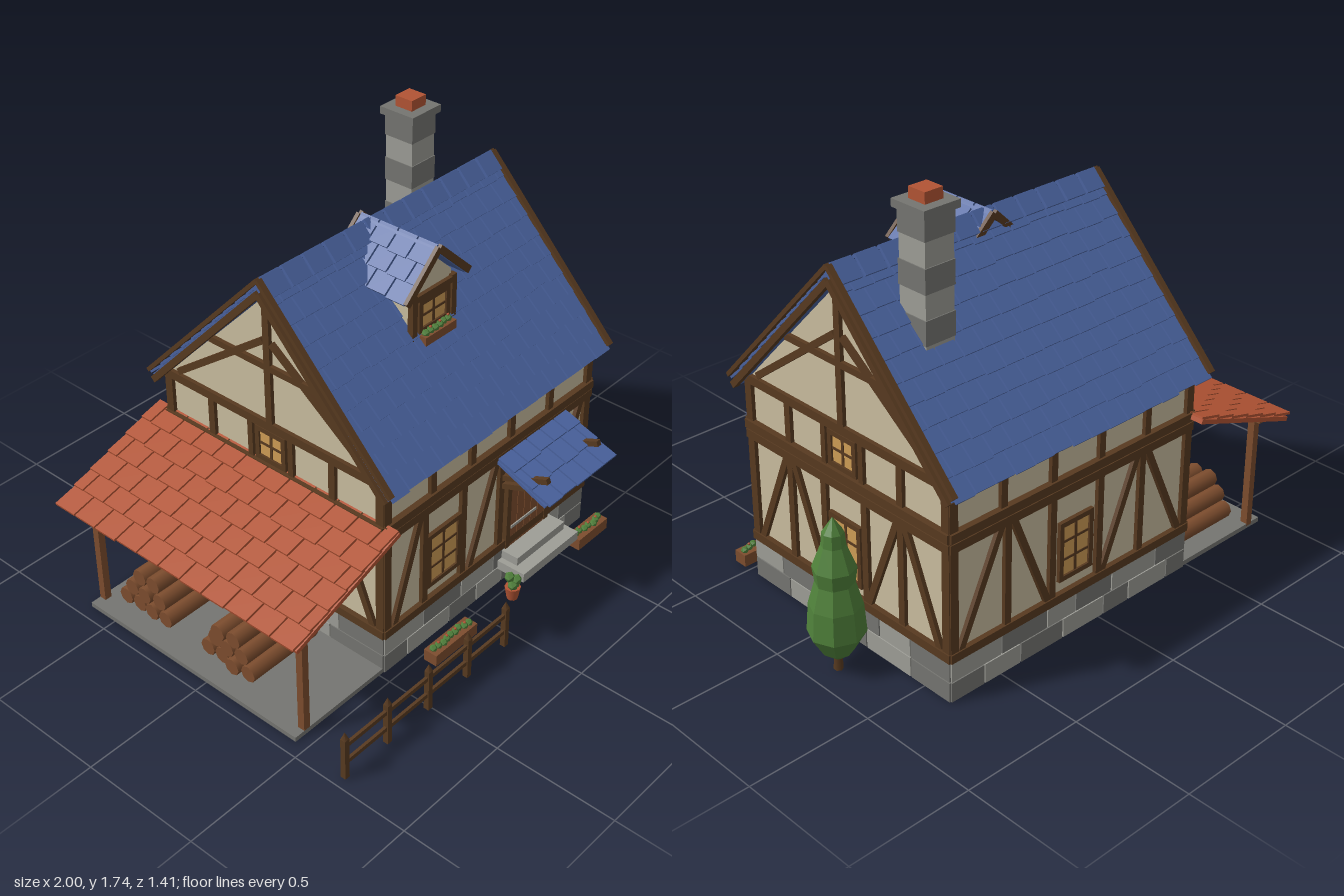
import * as THREE from 'three';
import { mergeGeometries } from 'three/addons/utils/BufferGeometryUtils.js';

const mat = (name, hex) => {
  const m = new THREE.MeshStandardMaterial({ color: hex });
  m.name = name;
  return m;
};
const flat = m => { m.flatShading = true; return m; };

export function createModel() {
  const blue = mat('blue tile', 0x4a639f), red = mat('terracotta', 0xb25434);
  const dark = mat('dark timber', 0x583a20), wood = mat('light timber', 0x7d4d2e);
  const cream = mat('plaster', 0xcabd9f), glass = mat('lit glass', 0xcf9d55);
  const light = mat('light stone', 0x9d9d96), grey = mat('dark stone', 0x757571);
  const green = flat(mat('leaf green', 0x4f803a));
  const house = new THREE.Group();
  house.name = 'cottage';

  let seed = 7;
  const rnd = () => (seed = (seed * 16807) % 2147483647) / 2147483647;
  const V = (x, y, z) => new THREE.Vector3(x, y, z);
  const add = (parent, name, geo, m, x = 0, y = 0, z = 0) => {
    const mesh = new THREE.Mesh(geo, m);
    mesh.name = name;
    mesh.position.set(x, y, z);
    parent.add(mesh);
    return mesh;
  };
  const box = (p, name, m, w, h, d, x, y, z) => add(p, name, new THREE.BoxGeometry(w, h, d), m, x, y, z);
  const group = (parent, name, x = 0, y = 0, z = 0, ry = 0) => {
    const g = new THREE.Group();
    g.name = name;
    g.position.set(x, y, z);
    g.rotation.y = ry;
    parent.add(g);
    return g;
  };
  // straight timber between two points of a wall plane
  const timber = (g, u1, y1, u2, y2, w = 0.03, d = 0.024, z = 0.004, m = dark, name = 'timber') => {
    const b = box(g, name, m, Math.hypot(u2 - u1, y2 - y1), w, d, (u1 + u2) / 2, (y1 + y2) / 2, z);
    b.rotation.z = Math.atan2(y2 - y1, u2 - u1);
    return b;
  };
  const mirrored = (g, u1, y1, u2, y2, w) => [1, -1].forEach(s => timber(g, s * u1, y1, s * u2, y2, w));
  const windowAt = (p, u, y0, y1, w, bars = 1) => {
    const g = group(p, 'window', u, 0, 0), h = w / 2;
    box(g, 'pane', glass, w, y1 - y0, 0.008, 0, (y0 + y1) / 2, 0.004);
    for (const s of [-h, h]) timber(g, s, y0 - 0.01, s, y1 + 0.01, 0.02);
    for (const y of [y0, y1]) timber(g, -h, y, h, y, 0.02);
    timber(g, 0, y0, 0, y1, 0.012, 0.014);
    for (let i = 1; i <= bars; i++) {
      const y = y0 + (y1 - y0) * i / (bars + 1);
      timber(g, -h, y, h, y, 0.01, 0.014);
    }
  };
  // tiled roof plane, from the middle of the eave to the middle of the ridge
  const roofSlope = (parent, name, eave, ridge, width, rows, cols, m, thick = 0.03) => {
    const Y = ridge.clone().sub(eave), len = Y.length();
    Y.normalize();
    const X = Y.clone().cross(V(0, 1, 0)).normalize(), Z = X.clone().cross(Y);
    const g = group(parent, name);
    g.quaternion.setFromRotationMatrix(new THREE.Matrix4().makeBasis(X, Y, Z));
    g.position.copy(eave);
    box(g, 'roof board', m, width, len, thick - 0.012, 0, len / 2, -0.012 - (thick - 0.012) / 2);
    const tiles = [], step = len / rows, tw = width / cols;
    for (let r = 0; r < rows; r++) {
      for (let c = 0; c <= cols; c++) {
        const shift = r % 2 ? 0.5 : 0;
        const a = Math.max(0, (c - shift) * tw), b = Math.min(width, (c + 1 - shift) * tw);
        if (b - a < 0.01) continue;
        const h = step * 1.08 + rnd() * 0.008;
        const t = new THREE.BoxGeometry(b - a - 0.007, h, 0.01);
        t.rotateX(-0.09);
        t.translate((a + b) / 2 - width / 2, (r + 1) * step - h / 2, -0.004);
        tiles.push(t);
      }
    }
    add(g, 'tiles', mergeGeometries(tiles), m);
    return g;
  };
  const extrude = (pts, depth) => new THREE.ExtrudeGeometry(
    new THREE.Shape(pts.map(p => new THREE.Vector2(...p))), { depth, bevelEnabled: false });

  // walls: one five-sided profile pushed along x
  const CX = 0.13, CZ = -0.09, HX = 0.597, HZ = 0.532;
  const body = add(house, 'walls', extrude([[-HZ, 0], [HZ, 0], [HZ, 0.855], [0, 1.405], [-HZ, 0.855]], HX * 2), cream, CX - HX, 0, CZ);
  body.rotation.y = Math.PI / 2;
  box(house, 'stone base', grey, 1.2, 0.165, 1.07, CX, 0.0855, CZ);

  const sides = {
    front: [group(house, 'front wall', CX, 0, CZ + HZ), HX],
    back: [group(house, 'back wall', CX, 0, CZ - HZ, Math.PI), HX],
    right: [group(house, 'left gable', CX + HX, 0, CZ, Math.PI / 2), HZ],
    left: [group(house, 'right gable', CX - HX, 0, CZ, -Math.PI / 2), HZ],
  };
  for (const [g, h] of Object.values(sides)) {
    // base stones in two courses
    for (let r = 0; r < 2; r++) {
      let u = -h - 0.012, k = r;
      while (u < h) {
        let w = 0.13 + rnd() * 0.12;
        if (h + 0.012 - u - w < 0.08) w = h + 0.012 - u;
        box(g, 'base stone', k++ % 2 ? light : grey, w - 0.006, 0.079, 0.03, u + w / 2, 0.042 + r * 0.084, 0);
        u += w;
      }
    }
    // frame shared by all sides
    const e = h + 0.014;
    timber(g, -e, 0.185, e, 0.185, 0.035, 0.034);
    timber(g, -e, 0.626, e, 0.626, 0.035, 0.034);
    timber(g, -e, 0.668, e, 0.668, 0.035, 0.042);
    timber(g, -e, 0.855, e, 0.855, 0.035);
    mirrored(g, h - 0.006, 0.17, h - 0.006, 0.87, 0.036);
  }

  // front frame, window and door
  const F = sides.front[0], fx = x => x - CX;
  for (const x of [-0.255, -0.035, 0.19, 0.505]) timber(F, fx(x), 0.2, fx(x), 0.61);
  for (const x of [-0.215, 0.01, 0.24, 0.475]) timber(F, fx(x), 0.68, fx(x), 0.84);
  for (const [a, b] of [[-0.42, -0.28], [0.01, 0.16], [0.535, 0.68]]) timber(F, fx(a), 0.2, fx(b), 0.61, 0.028);
  windowAt(F, fx(-0.145), 0.26, 0.485, 0.17, 2);
  const door = group(F, 'door', fx(0.355), 0, 0);
  box(door, 'door panel', dark, 0.25, 0.38, 0.016, 0, 0.345, 0.004);
  for (let i = 0; i < 5; i++) box(door, 'door plank', wood, 0.041, 0.36, 0.016, (i - 2) * 0.044, 0.335, 0.012);
  for (const y of [0.25, 0.44]) box(door, 'hinge strap', light, 0.16, 0.012, 0.006, -0.025, y, 0.022);
  box(door, 'handle', grey, 0.014, 0.03, 0.014, 0.07, 0.335, 0.025);
  for (const s of [-1, 1]) timber(door, s * 0.122, 0.16, s * 0.122, 0.53, 0.024, 0.04);
  timber(door, -0.135, 0.53, 0.135, 0.53, 0.026, 0.04);
  box(house, 'upper step', light, 0.3, 0.036, 0.09, 0.36, 0.138, 0.488);
  box(house, 'lower step', light, 0.35, 0.04, 0.14, 0.36, 0.1, 0.515);

  // back frame
  const B = sides.back[0];
  mirrored(B, 0.12, 0.2, 0.12, 0.61);
  mirrored(B, 0.34, 0.2, 0.34, 0.61);
  mirrored(B, 0.56, 0.2, 0.37, 0.61, 0.028);
  mirrored(B, 0.14, 0.2, 0.31, 0.61, 0.028);
  mirrored(B, 0.12, 0.68, 0.12, 0.84);
  mirrored(B, 0.36, 0.68, 0.36, 0.84);
  windowAt(B, 0, 0.26, 0.485, 0.15, 2);

  // gable frames
  for (const g of [sides.right[0], sides.left[0]]) {
    mirrored(g, 0.3, 0.2, 0.3, 0.61);
    mirrored(g, 0.11, 0.2, 0.11, 0.61);
    mirrored(g, 0.49, 0.2, 0.32, 0.61, 0.028);
    mirrored(g, 0.12, 0.2, 0.28, 0.61, 0.028);
    mirrored(g, 0.3, 0.68, 0.3, 0.84);
    mirrored(g, 0.1, 0.68, 0.1, 0.84, 0.024);
    windowAt(g, 0, 0.25, 0.485, 0.15, 2);
    windowAt(g, 0, 0.7, 0.825, 0.13, 1);
    timber(g, 0, 0.87, 0, 1.4);
    timber(g, -0.29, 1.11, 0.29, 1.11, 0.026);
    mirrored(g, 0.47, 0.885, 0.02, 1.215, 0.026);
    // barge boards
    for (const s of [-1, 1]) {
      timber(g, s * 0.6, 0.855, 0, 1.48, 0.016, 0.024, 0.04, dark, 'barge board');
      timber(g, s * 0.575, 0.822, 0, 1.425, 0.026, 0.024, 0.04, dark, 'barge board');
    }
  }

  // main roof and ridge caps
  for (const s of [1, -1]) {
    roofSlope(house, 'main roof', V(CX, 0.845, CZ + s * 0.595), V(CX, 1.468, CZ), 1.27, 10, 14, blue, 0.04);
    for (let i = 0; i < 12; i++) {
      const c = box(house, 'ridge cap', blue, 0.093, 0.012, 0.08, CX + (i - 5.5) * 0.106, 1.453, CZ + s * 0.027);
      c.rotation.x = s * 0.807;
    }
  }

  // dormer
  const D = group(house, 'dormer', 0.065, 0, 0);
  add(D, 'dormer wall', extrude([[-0.105, 1.12], [0.105, 1.12], [0.105, 1.34], [0, 1.44], [-0.105, 1.34]], 0.24), cream, 0, 0, -0.04);
  for (const s of [1, -1]) roofSlope(D, 'dormer roof', V(s * 0.168, 1.33, 0.045), V(0, 1.49, 0.045), 0.36, 3, 4, blue, 0.026);
  const DF = group(D, 'dormer front', 0, 0, 0.2);
  mirrored(DF, 0.108, 1.14, 0.108, 1.32, 0.026);
  timber(DF, -0.12, 1.302, 0.12, 1.302, 0.024);
  windowAt(DF, 0, 1.165, 1.28, 0.15, 1);
  for (const z of [0.228, -0.14])
    for (const s of [1, -1]) timber(D, s * 0.17, 1.318, 0, 1.478, 0.028, 0.016, z, dark, 'dormer barge board');

  // chimney
  const C = group(house, 'chimney', 0.51, 0, -0.285);
  for (let i = 0; i < 6; i++) {
    const w = i % 2 ? 0.134 : 0.128;
    box(C, 'chimney course', i % 2 ? grey : light, w, 0.093, w, 0, 1.163 + i * 0.0935, 0);
  }
  box(C, 'chimney cap', grey, 0.16, 0.03, 0.16, 0, 1.685, 0);
  box(C, 'chimney pot', red, 0.08, 0.045, 0.08, 0, 1.72, 0);

  // door canopy with struts
  roofSlope(house, 'door canopy', V(0.36, 0.54, 0.695), V(0.36, 0.645, 0.44), 0.425, 3, 5, blue, 0.025);
  for (const x of [0.2, 0.515]) {
    const g = group(house, 'canopy strut', x, 0, 0, Math.PI / 2);
    timber(g, -0.66, 0.6, -0.45, 0.515, 0.022, 0.022, 0);
    timber(g, -0.64, 0.55, -0.45, 0.478, 0.022, 0.022, 0);
  }

  // lean-to with log piles
  const L = group(house, 'lean-to');
  roofSlope(L, 'lean-to roof', V(-0.99, 0.505, -0.095), V(-0.465, 0.692, -0.095), 1.21, 6, 11, red, 0.03);
  box(L, 'lean-to floor', grey, 0.47, 0.02, 1.08, -0.71, 0.01, CZ);
  for (const z of [0.435, -0.615]) box(L, 'lean-to post', wood, 0.03, 0.5, 0.03, -0.885, 0.26, z);
  box(L, 'lean-to beam', wood, 0.03, 0.03, 1.13, -0.885, 0.502, CZ);
  for (const z0 of [-0.42, 0.02])
    for (let r = 0; r < 3; r++)
      for (let i = 0; i < 4 - r; i++) {
        const log = add(L, 'log', new THREE.CylinderGeometry(0.035, 0.035, 0.33 + rnd() * 0.03, 8), wood,
          -0.68 + (rnd() - 0.5) * 0.02, 0.055 + r * 0.06, z0 + (i - (3 - r) / 2) * 0.071);
        log.rotation.z = Math.PI / 2;
      }

  // fence
  const fence = group(house, 'fence', 0, 0, 0.69);
  for (let i = 0; i < 5; i++) {
    const x = -0.95 + i * 0.221;
    box(fence, 'fence post', dark, 0.022, 0.18, 0.022, x, 0.09, 0);
    const tip = add(fence, 'post tip', new THREE.ConeGeometry(0.0155, 0.032, 4), dark, x, 0.196, 0);
    tip.rotation.y = Math.PI / 4;
  }
  for (const y of [0.07, 0.148]) box(fence, 'fence rail', dark, 0.885, 0.018, 0.012, -0.508, y, 0);

  // flower boxes and pot
  const flowerBox = (x, y, z, w, h, d) => {
    const g = group(house, 'flower box', x, y, z);
    box(g, 'planter', wood, w, h, d, 0, h / 2, 0);
    const n = Math.round(w / 0.028);
    for (let i = 0; i < n; i++) {
      const u = ((i + 0.5) / n - 0.5) * w * 0.92, v = (rnd() - 0.5) * d * 0.4;
      add(g, 'leaves', new THREE.IcosahedronGeometry(0.016, 0), green, u, h + 0.006, v);
      if (i % 2) add(g, 'flower', new THREE.IcosahedronGeometry(0.006, 0), red, u, h + 0.021, v);
    }
  };
  flowerBox(-0.21, 0.005, 0.55, 0.24, 0.05, 0.06);
  flowerBox(0.655, 0.005, 0.55, 0.19, 0.05, 0.06);
  flowerBox(0.065, 1.118, 0.228, 0.17, 0.035, 0.04);
  const pot = group(house, 'potted plant', 0.165, 0, 0.55);
  add(pot, 'pot', new THREE.CylinderGeometry(0.032, 0.022, 0.055, 10), red, 0, 0.028, 0);
  for (let i = 0; i < 5; i++)
    add(pot, 'leaves', new THREE.IcosahedronGeometry(0.022, 0), green, Math.cos(i * 2.5) * 0.014, 0.062 + i * 0.011, Math.sin(i * 2.5) * 0.014);

  // cypress tree, low-poly
  const tree = group(house, 'tree', 0.892, 0, -0.215);
  add(tree, 'trunk', new THREE.CylinderGeometry(0.013, 0.018, 0.12, 6), dark, 0, 0.06, 0);
  const profile = [[0, 0.035], [0.06, 0.085], [0.107, 0.165], [0.098, 0.28], [0.072, 0.37], [0.08, 0.43], [0.045, 0.52], [0.04, 0.57], [0, 0.63]];
  add(tree, 'foliage', new THREE.LatheGeometry(profile.map(p => new THREE.Vector2(...p)), 8), green);
  return house;
}
